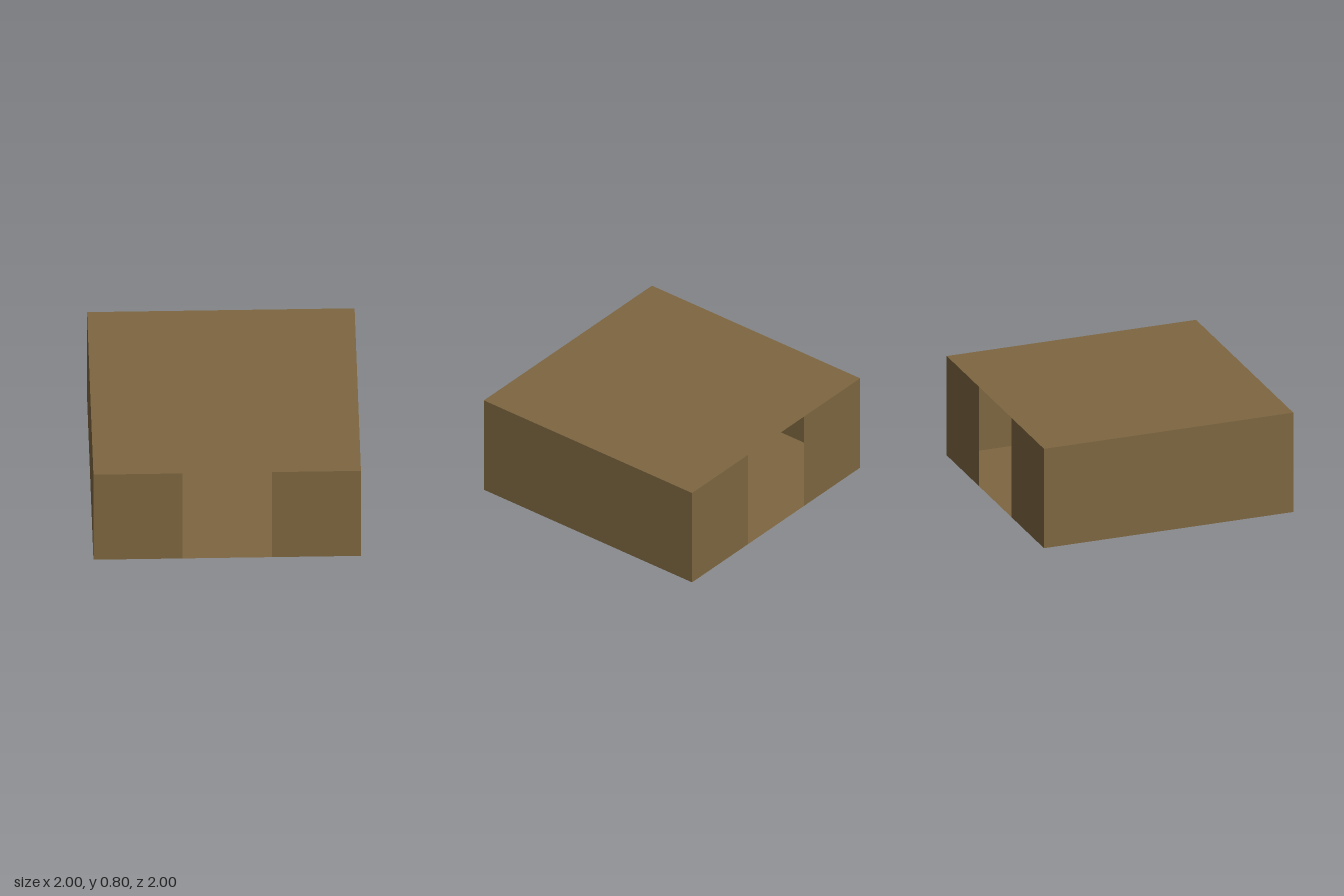
import * as THREE from 'three';

const SIZE = 2, HEIGHT = 0.8, PANEL = 2 / 3;

export function createModel() {
  const model = new THREE.Group();
  model.name = 'openHall';
  const brown = new THREE.MeshStandardMaterial({ color: 0x7d6640, side: THREE.DoubleSide });
  brown.name = 'brown';

  // A thin sheet, placed and then turned about x and y
  function sheet(name, width, height, position, rotX = 0, rotY = 0) {
    const mesh = new THREE.Mesh(new THREE.PlaneGeometry(width, height), brown);
    mesh.name = name;
    mesh.position.set(...position);
    mesh.rotation.set(rotX, rotY, 0);
    model.add(mesh);
  }

  // Roof and floor
  sheet('roof', SIZE, SIZE, [0, HEIGHT, 0], -Math.PI / 2);
  sheet('floor', SIZE, SIZE, [0, 0, 0], Math.PI / 2);

  for (const side of [1, -1]) {
    const sideName = side > 0 ? 'left' : 'right';
    // Solid side walls
    sheet(sideName + 'Wall', SIZE, HEIGHT, [side, HEIGHT / 2, 0], 0, side * Math.PI / 2);

    // End panels flanking the full-height openings at front and back
    for (const end of [1, -1]) {
      const name = sideName + (end > 0 ? 'FrontPanel' : 'BackPanel');
      sheet(name, PANEL, HEIGHT, [side * (1 - PANEL / 2), HEIGHT / 2, end], 0, end > 0 ? 0 : Math.PI);
    }
  }
  return model;
}
